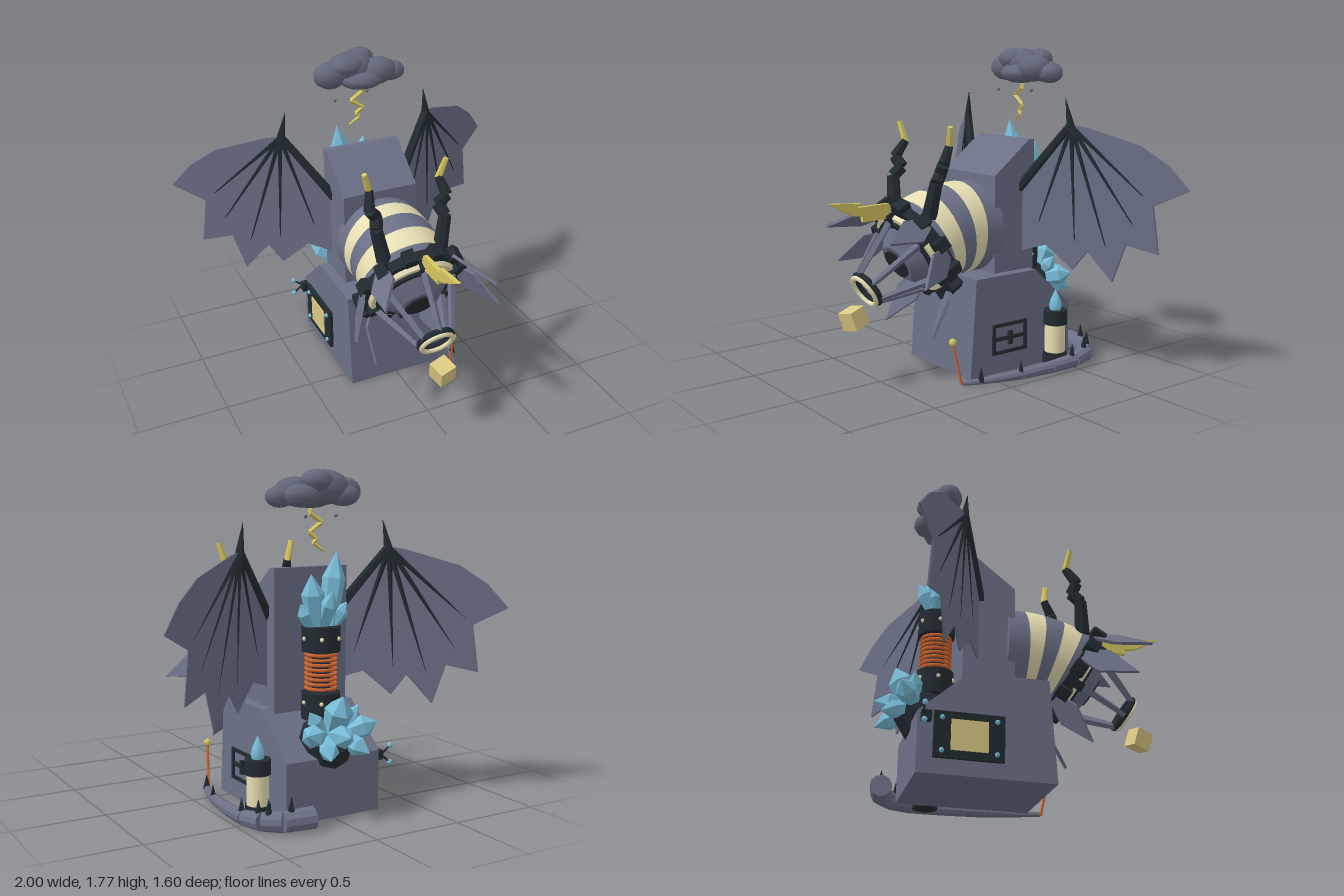
import * as THREE from 'three';

const mat = (name, hex) => {
  const m = new THREE.MeshStandardMaterial({ color: hex });
  m.name = name;
  return m;
};
const V = (x, y, z) => new THREE.Vector3(x, y, z);
const flat = (g) => {
  const f = g.index ? g.toNonIndexed() : g;
  f.computeVertexNormals();
  return f;
};

export function createModel() {
  const slate = mat('slate', 0x6b7086);
  const storm = mat('storm grey', 0x636879);
  const dark = mat('dark iron', 0x222b31);
  const cream = mat('cream', 0xe8dfb4);
  const gold = mat('gold', 0xd6c660);
  const sand = mat('sand', 0xdcc985);
  const ice = mat('ice blue', 0x78bcd8);
  const rust = mat('rust orange', 0xcf6530);

  const model = new THREE.Group();
  model.name = 'dragonCannonTower';

  const add = (name, geo, m, p = [0, 0, 0], r = [0, 0, 0], parent = model) => {
    const mesh = new THREE.Mesh(geo, m);
    mesh.name = name;
    mesh.position.set(...p);
    mesh.rotation.set(...r);
    parent.add(mesh);
    return mesh;
  };
  const box = (name, s, m, p, r, parent) => add(name, new THREE.BoxGeometry(...s), m, p, r, parent);
  const drum = (name, r, y0, y1, m, x, z, n = 20) =>
    add(name, new THREE.CylinderGeometry(r, r, y1 - y0, n), m, [x, (y0 + y1) / 2, z]);
  const ball = (name, r, m, p, parent) => add(name, new THREE.SphereGeometry(r, 10, 7), m, p, [0, 0, 0], parent);
  // Tapered rod from a to b
  const rod = (name, a, b, ra, rb, m, n = 6, parent = model) => {
    const d = b.clone().sub(a);
    const mesh = add(name, flat(new THREE.CylinderGeometry(rb, ra, d.length(), n)), m, [0, 0, 0], [0, 0, 0], parent);
    mesh.position.copy(a).addScaledVector(d, 0.5);
    mesh.quaternion.setFromUnitVectors(V(0, 1, 0), d.normalize());
    return mesh;
  };
  const chain = (name, pts, radii, m, n) => {
    for (let i = 0; i < pts.length - 1; i++) rod(name, V(...pts[i]), V(...pts[i + 1]), radii[i], radii[i + 1], m, n);
  };
  const extrude = (pts, depth) => {
    const g = new THREE.ExtrudeGeometry(new THREE.Shape(pts.map((p) => new THREE.Vector2(...p))), { depth, bevelEnabled: false });
    return g.translate(0, 0, -depth / 2);
  };
  // Side profile given as (z, y), extruded across x
  const profile = (name, pts, width, m) => add(name, extrude(pts, width), m, [0, 0, 0], [0, -Math.PI / 2, 0]);
  const crystal = (name, a, b, r) => {
    const d = b.clone().sub(a);
    const L = d.length();
    const pts = [[0, 0], [r * 0.7, 0], [r, L * 0.65], [0, L]].map((p) => new THREE.Vector2(...p));
    const mesh = add(name, flat(new THREE.LatheGeometry(pts, 6)), ice);
    mesh.position.copy(a);
    mesh.quaternion.setFromUnitVectors(V(0, 1, 0), d.normalize());
  };

  // Base and tower
  profile('base', [[0.1, 0], [0.06, 0.55], [-0.36, 0.55], [-0.62, 0.32], [-0.62, 0]], 0.56, slate);
  profile('tower', [[-0.11, 0.5], [-0.11, 1.09], [-0.35, 1.275], [-0.39, 1.275], [-0.39, 0.5]], 0.44, slate);

  // Barrel: straight rear band, then bands along a downward bend
  const R = 0.573, bend = Math.PI / 6, y0 = 0.79, z0 = -0.035;
  const rear = add('barrelRear', new THREE.CylinderGeometry(0.255, 0.255, 0.115, 32), slate, [0, y0, z0 - 0.0575], [Math.PI / 2, 0, 0]);
  rear.name = 'barrelRearBand';
  class Arc extends THREE.Curve {
    constructor(a, b) { super(); this.a = a; this.b = b; }
    getPoint(t, out = V(0, 0, 0)) {
      const k = (this.a + (this.b - this.a) * t) * bend;
      return out.set(0, y0 - R * (1 - Math.cos(k)), z0 + R * Math.sin(k));
    }
  }
  [[0, 0.27, cream], [0.27, 0.55, slate], [0.55, 0.83, cream], [0.83, 1, slate]].forEach(([a, b, m]) =>
    add('barrelBand', new THREE.TubeGeometry(new Arc(a, b), 4, 0.257, 32), m));

  // Muzzle assembly, local +z along the barrel
  const muzzle = new THREE.Group();
  muzzle.name = 'muzzle';
  muzzle.position.set(0, 0.705, 0.262);
  muzzle.rotation.x = bend;
  model.add(muzzle);
  const along = [Math.PI / 2, 0, 0];
  const disc = (name, ra, rb, z, h, m) => add(name, new THREE.CylinderGeometry(ra, rb, h, 32), m, [0, 0, z], along, muzzle);
  disc('muzzleRim', 0.285, 0.285, 0, 0.06, dark);
  disc('creamRim', 0.245, 0.255, 0.04, 0.03, cream);
  disc('muzzleFace', 0.215, 0.225, 0.055, 0.03, dark);
  disc('innerCone', 0.11, 0.2, 0.1, 0.08, slate);
  disc('bore', 0.085, 0.085, 0.14, 0.02, dark);
  for (let i = 0; i < 12; i++) {
    const a = (i + 0.5) * Math.PI / 6;
    box('rimTooth', [0.06, 0.065, 0.075], dark, [0.29 * Math.cos(a), 0.29 * Math.sin(a), 0], [0, 0, a], muzzle);
  }
  // Cage struts and nose ring
  for (let i = 0; i < 6; i++) {
    const a = i * Math.PI / 3 + Math.PI / 6, c = Math.cos(a), s = Math.sin(a);
    rod('cageStrut', V(0.24 * c, 0.24 * s, 0.03), V(0.095 * c, 0.095 * s, 0.36), 0.023, 0.016, slate, 4, muzzle);
    box('strutFoot', [0.06, 0.05, 0.05], dark, [0.24 * c, 0.24 * s, 0.05], [0, 0, a], muzzle);
  }
  add('noseRing', new THREE.TorusGeometry(0.09, 0.02, 8, 24), dark, [0, 0, 0.36], [0, 0, 0], muzzle);
  add('noseRingTrim', new THREE.TorusGeometry(0.088, 0.014, 8, 24), cream, [0, 0, 0.38], [0, 0, 0], muzzle);
  // Flared fins
  const finShape = [[-0.035, -0.02], [-0.075, 0.1], [0, 0.3], [0.075, 0.1], [0.035, -0.02]];
  [42, 3, -58, 138, 177, 238].forEach((deg) => {
    const holder = new THREE.Group();
    holder.name = 'fin';
    holder.rotation.z = THREE.MathUtils.degToRad(deg - 90);
    muzzle.add(holder);
    add('finBlade', extrude(finShape, 0.016), slate, [0, 0.285, 0], [1.08, 0, 0], holder);
  });

  // Bolt-shaped sight and floating cube
  profile('boltSight', [[0.8, 1.0], [0.61, 0.985], [0.63, 0.965], [0.44, 0.97], [0.4, 0.89], [0.6, 0.885], [0.6, 0.915], [0.66, 0.925]], 0.024, gold);
  box('cube', [0.1, 0.1, 0.1], sand, [0, 0.38, 0.66], [0.25, 0.25, 0.12]);

  for (const s of [-1, 1]) {
    // Crooked horns
    chain('horn', [[s * 0.165, 0.9, 0.29], [s * 0.2, 1.08, 0.27], [s * 0.18, 1.13, 0.225], [s * 0.225, 1.18, 0.24], [s * 0.2, 1.27, 0.185]],
      [0.042, 0.035, 0.035, 0.032, 0.022], dark, 7);
    rod('hornTip', V(s * 0.2, 1.26, 0.185), V(s * 0.235, 1.375, 0.203), 0.02, 0.015, gold);

    // Wing membrane, swept back
    const wz = (x) => -0.18 - 0.6 * Math.abs(x);
    const outline = [[0.2, 1.0], [0.2, 0.65], [0.34, 0.7], [0.47, 0.57], [0.54, 0.68], [0.66, 0.52], [0.72, 0.73], [0.87, 0.69],
      [0.84, 0.95], [1, 1.04], [0.9, 1.17], [0.77, 1.27], [0.52, 1.355], [0.44, 1.37]].map(([x, y]) => [s * x, y]);
    const g = extrude(outline, 0.009);
    const pos = g.attributes.position;
    for (let i = 0; i < pos.count; i++) pos.setZ(i, pos.getZ(i) + wz(pos.getX(i)));
    add('wingMembrane', flat(g), slate);
    // Wing arm, spike and ribs
    const wp = (x, y) => V(s * x, y, wz(x));
    rod('wingArm', wp(0.16, 0.95), wp(0.45, 1.37), 0.03, 0.022, dark);
    rod('wingSpike', wp(0.45, 1.34), wp(0.42, 1.51), 0.026, 0.001, dark);
    [[0.84, 0.95], [0.79, 0.77], [0.65, 0.62], [0.48, 0.65], [0.28, 0.75]].forEach(([x, y]) =>
      rod('wingRib', wp(0.45, 1.36), wp(x, y), 0.017, 0.003, dark, 5));
  }

  // Storm cloud with bolt and drops
  [[-0.13, 1.66, -0.48, 0.1, 0.075], [0.0, 1.68, -0.5, 0.14, 0.09], [0.07, 1.71, -0.55, 0.09, 0.06], [-0.04, 1.71, -0.46, 0.1, 0.06],
    [0.14, 1.66, -0.45, 0.11, 0.075], [0.24, 1.635, -0.48, 0.08, 0.055], [0.04, 1.63, -0.44, 0.13, 0.055], [0.15, 1.64, -0.54, 0.1, 0.06],
    [-0.1, 1.64, -0.53, 0.09, 0.055]].forEach(([x, y, z, r, h]) =>
    ball('cloudPuff', 1, storm, [x, y, z]).scale.set(r, h, r * 0.8));
  chain('cloudBolt', [[0.04, 1.6, -0.45], [0.045, 1.55, -0.45], [-0.02, 1.505, -0.455], [0.05, 1.455, -0.45], [0.01, 1.42, -0.46], [0.03, 1.4, -0.455], [-0.03, 1.36, -0.46]],
    [0.013, 0.013, 0.013, 0.012, 0.011, 0.01, 0.006], gold, 4);
  [[-0.13, -0.42], [0.09, -0.48]].forEach(([x, z]) => ball('drop', 0.009, storm, [x, 1.535, z]));

  // Rear energy coil with crystals on top
  const cz = -0.49;
  drum('coilBase', 0.1, 0.5, 0.64, dark, 0, cz);
  drum('coilCore', 0.045, 0.6, 0.88, dark, 0, cz);
  drum('coilCap', 0.1, 0.85, 0.98, dark, 0, cz);
  for (let i = 0; i < 8; i++) add('coilTurn', new THREE.TorusGeometry(0.078, 0.009, 6, 24), rust, [0, 0.66 + i * 0.025, cz], along);
  for (let i = 0; i < 6; i++) {
    const a = i * Math.PI / 3, c = 0.1 * Math.cos(a), s = 0.1 * Math.sin(a);
    for (const y of [0.59, 0.92]) ball('rivet', 0.011, cream, [c, y, cz + s]);
  }
  [[-0.1, 1.36, -0.48, 0.06], [0.08, 1.25, -0.52, 0.06], [0, 1.17, -0.6, 0.045], [0.13, 1.1, -0.5, 0.04], [-0.13, 1.1, -0.53, 0.04]].forEach(([x, y, z, r]) =>
    crystal('coilCrystal', V(x * 0.4, 0.96, cz), V(x, y, z), r));

  // Crystal cluster on the rear slope
  rod('crystalMount', V(0, 0.38, -0.54), V(0, 0.45, -0.63), 0.15, 0.11, dark, 10);
  [[0, 0.65, -0.7, 0.075], [0.02, 0.46, -0.8, 0.06], [0.21, 0.47, -0.7, 0.06], [-0.21, 0.5, -0.7, 0.06],
    [0.12, 0.35, -0.78, 0.05], [-0.11, 0.36, -0.78, 0.05], [-0.15, 0.58, -0.62, 0.04], [0.15, 0.57, -0.62, 0.04]].forEach(([x, y, z, r]) =>
    crystal('rearCrystal', V(x * 0.3, 0.43, -0.6), V(x, y, z), r));

  // Hatch on the left face
  const hz = -0.17, hy = 0.195;
  for (const k of [-1, 1]) {
    box('hatchRail', [0.02, 0.018, 0.24], dark, [0.282, hy + k * 0.077, hz]);
    box('hatchPost', [0.02, 0.17, 0.018], dark, [0.282, hy, hz + k * 0.112]);
  }
  box('hatchBar', [0.02, 0.02, 0.22], dark, [0.282, hy, hz]);
  box('hatchHandle', [0.03, 0.075, 0.025], dark, [0.284, hy, hz]);

  // Control panel and antennas on the right face
  box('panelFrame', [0.03, 0.24, 0.36], dark, [-0.285, 0.2, -0.36]);
  box('panelScreen', [0.008, 0.16, 0.19], sand, [-0.302, 0.2, -0.36]);
  for (const k of [-1, 1]) for (const j of [-1, 1]) ball('panelKnob', 0.013, ice, [-0.303, 0.2 + k * 0.085, -0.36 + j * 0.14]);
  box('antennaMount', [0.05, 0.05, 0.05], dark, [-0.295, 0.285, -0.58]);
  for (const y of [0.33, 0.24]) {
    rod('antenna', V(-0.31, 0.285, -0.6), V(-0.365, y, -0.6), 0.006, 0.005, dark);
    ball('antennaTip', 0.015, ice, [-0.365, y, -0.6]);
  }

  // Capsule lamp beside the base
  drum('lampFoot', 0.067, 0, 0.08, dark, 0.35, -0.45);
  drum('lampBody', 0.058, 0.06, 0.26, cream, 0.35, -0.45);
  drum('lampCollar', 0.067, 0.24, 0.32, dark, 0.35, -0.45);
  const lamp = [[0.03, 0], [0.037, 0.03], [0.026, 0.07], [0, 0.125]].map((p) => new THREE.Vector2(...p));
  add('lampFlame', new THREE.LatheGeometry(lamp, 10), ice, [0.35, 0.315, -0.45]);

  // Segmented tail curling round from the back, with spikes
  const tail = [[0.33, 0.015, 0.19], [0.39, 0.022, 0.04], [0.435, 0.03, -0.13], [0.455, 0.035, -0.33], [0.455, 0.04, -0.5], [0.42, 0.05, -0.62], [0.34, 0.055, -0.69], [0.18, 0.06, -0.715]];
  chain('tailSegment', tail, [0.013, 0.02, 0.029, 0.034, 0.04, 0.048, 0.054, 0.058], slate, 10);
  [[0.37, 0.1, 0.02], [0.44, -0.12, 0.03], [0.43, -0.6, 0.08], [0.4, -0.65, 0.09], [0.46, -0.48, 0.06], [0.3, -0.7, 0.1]].forEach(([x, z, y]) =>
    add('tailSpike', new THREE.ConeGeometry(0.02, 0.085, 6), dark, [x, y + 0.04, z]));
  rod('tailRod', V(0.315, 0.005, 0.19), V(0.297, 0.24, 0.233), 0.008, 0.007, rust);
  ball('tailRodTip', 0.021, gold, [0.297, 0.242, 0.235]);

  return model;
}
